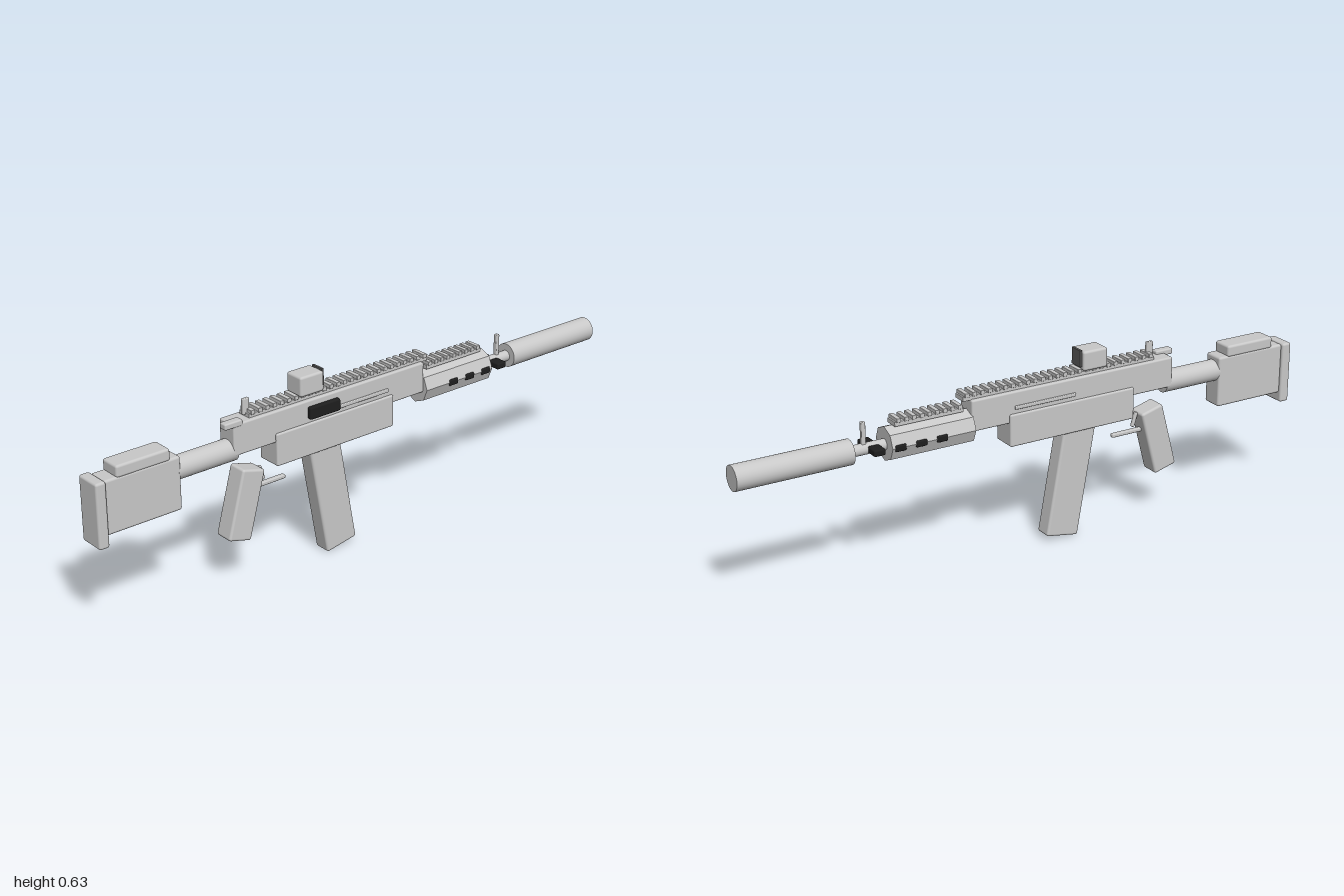
import * as THREE from 'three';
import { RoundedBoxGeometry } from 'three/addons/geometries/RoundedBoxGeometry.js';

export function createModel() {
  const model = new THREE.Group();
  model.name = 'rifle';

  const gray = new THREE.MeshStandardMaterial({ color: 0xc8c8c8 });
  gray.name = 'light gray';
  const black = new THREE.MeshStandardMaterial({ color: 0x1e1e1e });
  black.name = 'black';
  const glass = new THREE.MeshStandardMaterial({ color: 0x5c5c5c });
  glass.name = 'dark lens gray';
  const facetGray = gray;

  function add(name, geometry, material, x, y, z, tilt = 0, parent = model) {
    const mesh = new THREE.Mesh(geometry, material);
    mesh.name = name;
    mesh.position.set(x, y, z);
    mesh.rotation.x = tilt;
    parent.add(mesh);
    return mesh;
  }

  // Rounded box given by its limits along y and z, and a half width about x
  function block(name, halfW, y0, y1, z0, z1, r = 0.007, material = gray, x = 0) {
    const geo = new RoundedBoxGeometry(halfW * 2, y1 - y0, z1 - z0, 2, r);
    return add(name, geo, material, x, (y0 + y1) / 2, (z0 + z1) / 2);
  }

  // Cylinder lying along z
  function tube(name, radius, y, z0, z1, sides = 32) {
    let geo = new THREE.CylinderGeometry(radius, radius, z1 - z0, sides);
    geo.rotateX(Math.PI / 2);
    if (sides <= 8) {
      geo = geo.toNonIndexed();
      geo.computeVertexNormals();
    }
    return add(name, geo, facetGray, 0, y, (z0 + z1) / 2);
  }

  // Stock
  block('buttPlate', 0.045, 0.3, 0.508, 0.965, 1.0, 0.008);
  block('stockBody', 0.036, 0.333, 0.505, 0.708, 0.968, 0.008);
  block('cheekRest', 0.036, 0.5, 0.539, 0.742, 0.925, 0.008);
  tube('bufferTube', 0.036, 0.453, 0.5, 0.715);

  // Receiver
  block('upperReceiver', 0.036, 0.443, 0.545, -0.228, 0.518, 0.006);
  block('lowerReceiver', 0.043, 0.366, 0.473, -0.096, 0.365, 0.006);
  block('sideGroove', 0.041, 0.486, 0.498, -0.077, 0.145, 0.003);
  block('ejectionPort', 0.009, 0.486, 0.526, 0.125, 0.243, 0.006, black, 0.043);
  block('chargingHandle', 0.014, 0.536, 0.556, 0.485, 0.55, 0.005, gray, 0.024);

  // Magazine and pistol grip, both leaning
  add('magazine', new RoundedBoxGeometry(0.06, 0.42, 0.118, 2, 0.008), gray, 0, 0.217, 0.141, 0.175);
  add('grip', new RoundedBoxGeometry(0.068, 0.228, 0.084, 2, 0.008), gray, 0, 0.268, 0.474, -0.265);

  // Trigger and its guard bar
  block('triggerGuard', 0.008, 0.298, 0.311, 0.308, 0.423, 0.004);
  add('trigger', new RoundedBoxGeometry(0.012, 0.05, 0.012, 2, 0.004), gray, 0, 0.343, 0.396, 0.3);

  // Handguard with dark cross slots, barrel and muzzle tube
  tube('handguard', 0.055, 0.455, -0.51, -0.225, 8);
  for (const z of [-0.341, -0.412, -0.482, -0.553]) {
    block('ventSlot', 0.057, 0.443, 0.464, z - 0.019, z + 0.019, 0.005, black);
  }
  tube('barrel', 0.018, 0.453, -0.64, -0.5);
  tube('suppressor', 0.04, 0.454, -1.0, -0.625);

  // Toothed accessory rails
  function rail(name, y, z0, z1, teeth) {
    const group = new THREE.Group();
    group.name = name;
    model.add(group);
    const length = z1 - z0;
    const pitch = length / teeth;
    add('railBase', new THREE.BoxGeometry(0.046, 0.014, length), gray, 0, y + 0.005, (z0 + z1) / 2, 0, group);
    const tooth = new RoundedBoxGeometry(0.054, 0.014, pitch * 0.58, 1, 0.002);
    for (let i = 0; i < teeth; i++) {
      add('railTooth', tooth, gray, 0, y + 0.016, z0 + (i + 0.5) * pitch, 0, group);
    }
  }
  rail('topRail', 0.545, -0.252, 0.452, 26);
  rail('frontRail', 0.513, -0.485, -0.25, 9);

  // Sights
  block('opticBody', 0.035, 0.56, 0.625, 0.176, 0.266, 0.008);
  block('opticLens', 0.024, 0.572, 0.628, 0.168, 0.177, 0.002, glass);
  block('rearSight', 0.006, 0.55, 0.601, 0.436, 0.46, 0.003);
  block('frontSight', 0.007, 0.466, 0.54, -0.587, -0.573, 0.003);

  return model;
}
